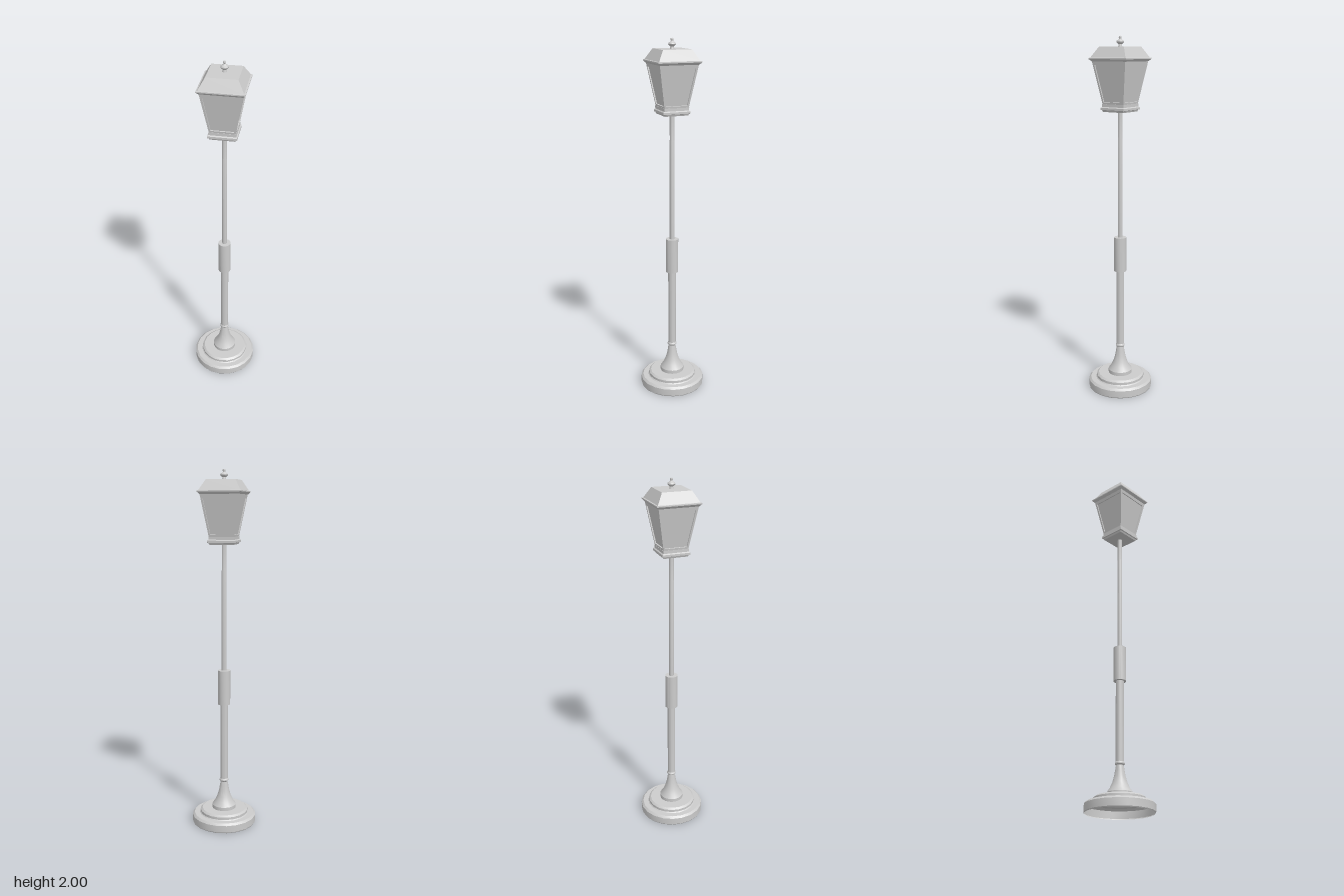
import * as THREE from 'three';
import { toCreasedNormals } from 'three/addons/utils/BufferGeometryUtils.js';

const material = new THREE.MeshStandardMaterial({ color: 0xcccccc });
const openMaterial = new THREE.MeshStandardMaterial({ color: 0xcccccc, side: THREE.DoubleSide });
const flatMaterial = new THREE.MeshStandardMaterial({ color: 0xcccccc, flatShading: true });

const toPoints = (profile) => profile.map(([r, y]) => new THREE.Vector2(r, y));

// Round turned part from [radius, y] pairs, bottom to top
function turned(name, profile, sides = 20, mat = material) {
  const geometry = toCreasedNormals(new THREE.LatheGeometry(toPoints(profile), sides), 0.5);
  const mesh = new THREE.Mesh(geometry, mat);
  mesh.name = name;
  return mesh;
}

// Square part from [half width, y] pairs, bottom to top
function square(name, profile) {
  const corners = profile.map(([h, y]) => [h * Math.SQRT2, y]);
  const geometry = new THREE.LatheGeometry(toPoints(corners), 4).rotateY(Math.PI / 4);
  const mesh = new THREE.Mesh(geometry, flatMaterial);
  mesh.name = name;
  return mesh;
}

function trapezoid(Type, bottomHalf, topHalf, y0, y1) {
  return new Type(toPoints([[-bottomHalf, y0], [bottomHalf, y0], [topHalf, y1], [-topHalf, y1]]));
}

export function createModel() {
  const model = new THREE.Group();
  model.name = 'streetLamp';

  // Stepped foot, hollow underneath
  model.add(turned('foot', [
    [0.18, 0], [0.183, 0.005], [0.183, 0.044], [0.172, 0.055], [0.142, 0.055],
    [0.137, 0.06], [0.137, 0.074], [0.126, 0.083], [0.06, 0.083],
  ], 20, openMaterial));

  // Flared stem
  model.add(turned('flaredStem', [
    [0, 0.08], [0.068, 0.08], [0.068, 0.103], [0.052, 0.126], [0.039, 0.155],
    [0.03, 0.187], [0.025, 0.215], [0.02, 0.245], [0, 0.245],
  ]));

  // Posts, collar and sleeve
  model.add(turned('collar', [
    [0, 0.243], [0.021, 0.243], [0.026, 0.249], [0.026, 0.255], [0.022, 0.262], [0, 0.262],
  ]));
  model.add(turned('lowerPost', [[0.022, 0.255], [0.022, 0.71]]));
  model.add(turned('sleeve', [[0, 0.705], [0.035, 0.705], [0.035, 0.902], [0, 0.902]]));
  model.add(turned('upperPost', [[0.0135, 0.9], [0.0135, 1.46], [0.0125, 1.465], [0.0125, 1.61]], 16));

  // Lantern
  const lantern = new THREE.Group();
  lantern.name = 'lantern';
  model.add(lantern);
  lantern.add(square('lanternBase', [
    [0, 1.603], [0.066, 1.603], [0.07, 1.612], [0.076, 1.614], [0.076, 1.625],
    [0.07, 1.63], [0.07, 1.645], [0, 1.645],
  ]));
  lantern.add(square('glass', [[0.061, 1.644], [0.102, 1.875]]));

  // Four tilted window frames
  const rise = 0.235, spread = 0.041, depth = 0.008;
  const slant = Math.hypot(rise, spread);
  const outline = trapezoid(THREE.Shape, 0.068, 0.109, 0, slant);
  outline.holes.push(trapezoid(THREE.Path, 0.06, 0.093, 0.012, slant - 0.029));
  const frame = new THREE.ExtrudeGeometry(outline, { depth, bevelEnabled: false })
    .translate(0, 0, -depth)
    .rotateX(Math.atan2(spread, rise))
    .translate(0, 1.643, 0.068);
  for (let i = 0; i < 4; i++) {
    const side = new THREE.Mesh(frame, flatMaterial);
    side.name = 'windowFrame';
    side.rotation.y = i * Math.PI / 2;
    lantern.add(side);
  }

  // Eave and flat-topped roof
  lantern.add(square('roof', [
    [0, 1.868], [0.108, 1.868], [0.12, 1.88], [0.12, 1.886], [0.113, 1.888],
    [0.08, 1.944], [0, 1.944],
  ]));

  // Finial
  lantern.add(turned('finial', [
    [0, 1.942], [0.012, 1.942], [0.01, 1.95], [0.009, 1.956], [0.018, 1.963], [0.021, 1.969],
    [0.018, 1.975], [0.009, 1.981], [0.006, 1.986], [0.008, 1.991], [0.007, 1.997], [0, 2],
  ], 16));

  return model;
}
